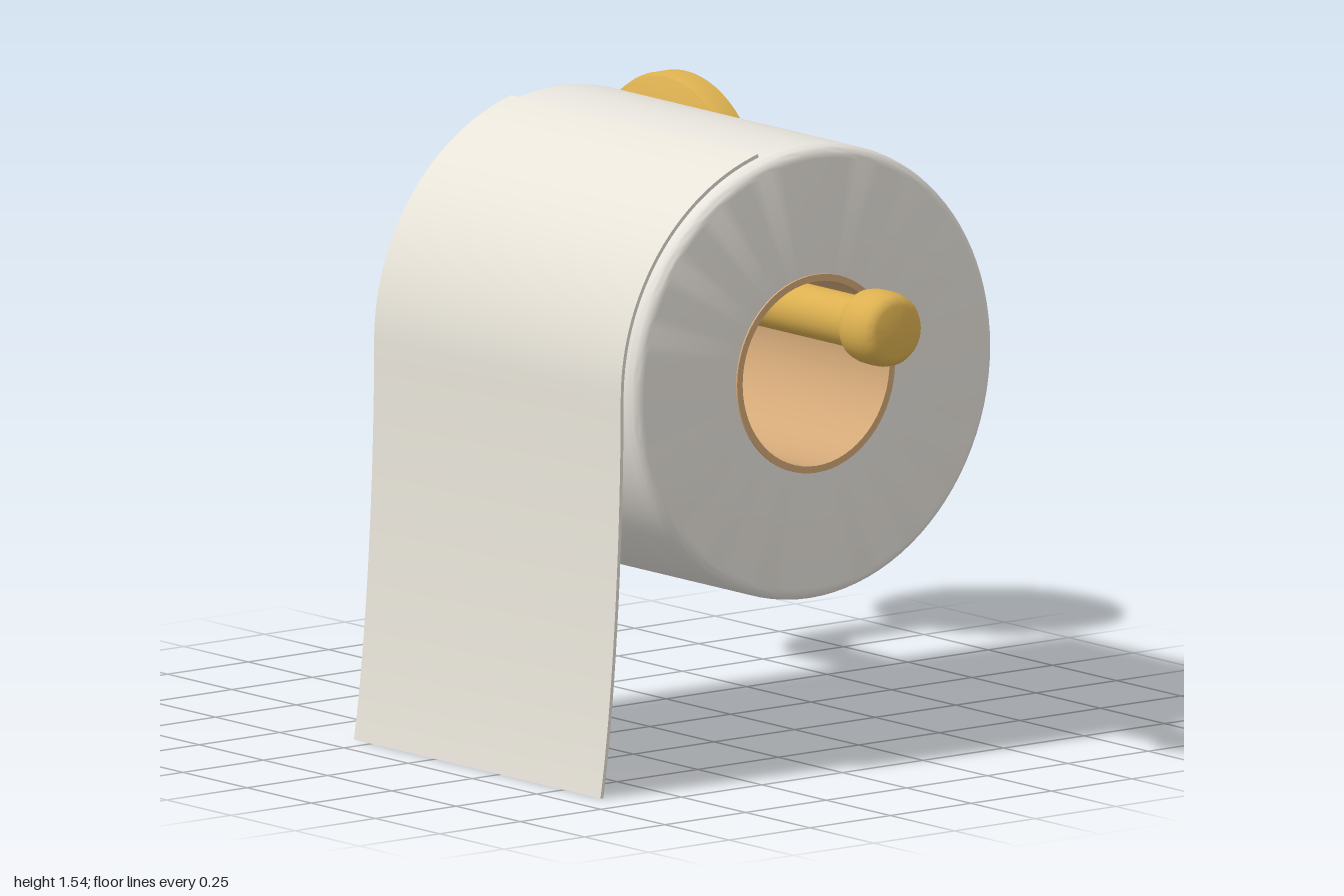
import * as THREE from 'three';
import { toCreasedNormals } from 'three/addons/utils/BufferGeometryUtils.js';

const material = (name, color) => {
  const m = new THREE.MeshStandardMaterial({ color });
  m.name = name;
  return m;
};

export function createModel() {
  const brass = material('brass', 0xdcb050);
  const paper = material('paper', 0xebe7e0);
  const sheetPaper = material('sheet paper', 0xede9de);
  const cardboard = material('cardboard', 0xd3a878);

  const group = new THREE.Group();
  group.name = 'toiletRollHolder';
  const add = (name, geometry, mat, x = 0, y = 0, z = 0) => {
    const mesh = new THREE.Mesh(geometry, mat);
    mesh.name = name;
    mesh.position.set(x, y, z);
    group.add(mesh);
    return mesh;
  };
  // Lathe from [radius, height] pairs, listed from bottom to top on the outside
  const lathe = (pairs, segments, crease = 0.6) => toCreasedNormals(
    new THREE.LatheGeometry(pairs.map(([r, h]) => new THREE.Vector2(r, h)), segments), crease);

  const rodY = 1.13, rodZ = 0.025, plateX = -0.695, bend = 0.18;
  const rollX = 0.1675, rollY = 0.98, rollZ = 0.03;

  // Wall plate: flat back, short rim, shallow dome towards the front
  const plate = add('wallPlate', lathe([
    [0, 0], [0.298, 0], [0.305, 0.006], [0.305, 0.05], [0.298, 0.068],
    [0.23, 0.1], [0.14, 0.115], [0.06, 0.124], [0, 0.124],
  ], 64, 0.45), brass, plateX, rodY, -0.672);
  plate.rotation.x = Math.PI / 2;

  // Bent arm: out from the wall, then sideways through the roll
  const v = (x, z) => new THREE.Vector3(x, rodY, z);
  const k = bend * 0.45;
  const path = new THREE.CurvePath();
  path.add(new THREE.LineCurve3(v(plateX, -0.6), v(plateX, rodZ - bend)));
  path.add(new THREE.CubicBezierCurve3(
    v(plateX, rodZ - bend), v(plateX, rodZ - k), v(plateX + k, rodZ), v(plateX + bend, rodZ)));
  path.add(new THREE.LineCurve3(v(plateX + bend, rodZ), v(0.9, rodZ)));
  add('arm', new THREE.TubeGeometry(path, 120, 0.064, 32), brass);

  // Rounded end knob
  const knob = add('endKnob', lathe([
    [0, 0], [0.068, 0], [0.08, 0.004], [0.088, 0.015], [0.092, 0.035], [0.093, 0.065],
    [0.092, 0.09], [0.086, 0.113], [0.077, 0.126], [0.064, 0.131], [0, 0.132],
  ], 48, 0.9), brass, 0.864, rodY, rodZ);
  knob.rotation.z = -Math.PI / 2;

  // Paper roll with rounded rims, open in the middle
  const half = 0.5125, outer = 0.56, round = 0.03;
  const profile = [[0.24, -half]];
  for (const side of [-1, 1]) {
    for (let i = 0; i <= 6; i++) {
      const a = (side < 0 ? i - 6 : i) * Math.PI / 12;
      profile.push([outer - round + round * Math.cos(a), side * (half - round) + round * Math.sin(a)]);
    }
  }
  profile.push([0.24, half]);
  const roll = add('paperRoll', lathe(profile, 96), paper, rollX, rollY, rollZ);
  roll.rotation.z = -Math.PI / 2;

  // Cardboard core, a closed ring profile standing slightly proud
  const c = half + 0.005;
  const core = add('cardboardCore', lathe(
    [[0.228, -c], [0.245, -c], [0.245, c], [0.228, c], [0.228, -c]], 64), cardboard, rollX, rollY, rollZ);
  core.rotation.z = -Math.PI / 2;

  // Loose sheet: wraps the front of the roll, then hangs with a slight flare
  const line = [];
  const wrapR = 0.57, startAngle = 75 * Math.PI / 180;
  for (let i = 0; i < 30; i++) {
    const a = startAngle * (1 - i / 30);
    line.push(new THREE.Vector2(rollZ + wrapR * Math.cos(a), rollY + wrapR * Math.sin(a)));
  }
  const x0 = rollZ + wrapR;
  line.push(...new THREE.CubicBezierCurve(
    new THREE.Vector2(x0, rollY), new THREE.Vector2(x0, 0.6),
    new THREE.Vector2(0.63, 0.2), new THREE.Vector2(0.663, 0)).getPoints(20));
  const offset = (d) => line.map((p, i) => {
    const t = line[Math.min(i + 1, line.length - 1)].clone().sub(line[Math.max(i - 1, 0)]).normalize();
    return new THREE.Vector2(p.x - t.y * d, Math.max(0, p.y + t.x * d));
  });
  const section = new THREE.Shape([...offset(0.0045), ...offset(-0.0045).reverse()]);
  const sheet = add('looseSheet', toCreasedNormals(
    new THREE.ExtrudeGeometry(section, { depth: 0.96, bevelEnabled: false }), 0.5), sheetPaper, 0.645, 0, 0);
  sheet.rotation.y = -Math.PI / 2;

  return group;
}
